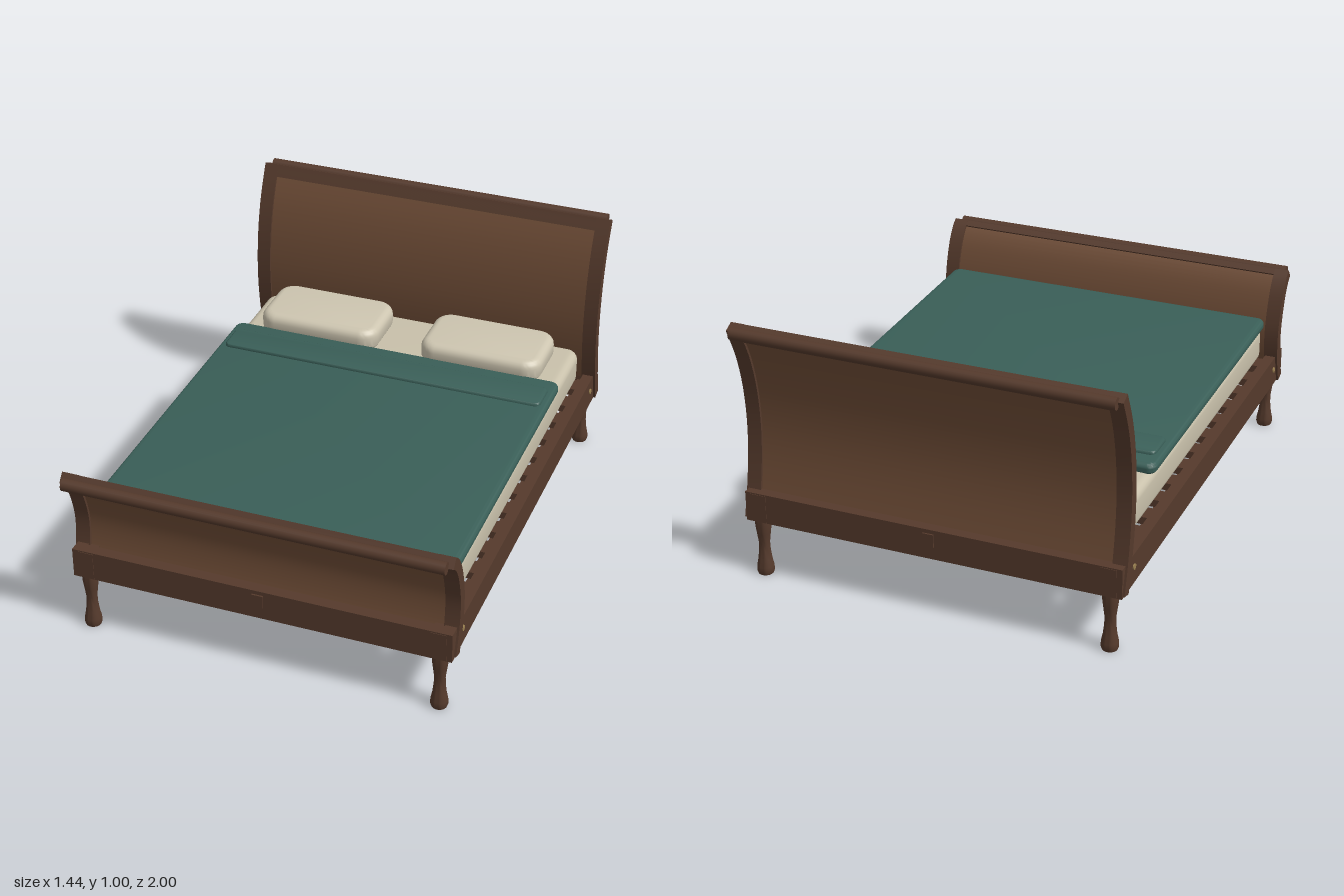
import * as THREE from 'three';
import { toCreasedNormals } from 'three/addons/utils/BufferGeometryUtils.js';

const mat = (color) => new THREE.MeshStandardMaterial({ color });

export function createModel() {
  const bed = new THREE.Group();
  const wood = mat(0x553a2c), panelWood = mat(0x6e4c36), linen = mat(0xc9c1ab);
  const pillowCloth = mat(0xcdc5b0), green = mat(0x3a5f58), brass = mat(0x9a8050);

  const add = (name, geometry, material, x = 0, y = 0, z = 0) => {
    const mesh = new THREE.Mesh(geometry, material);
    mesh.name = name;
    mesh.position.set(x, y, z);
    bed.add(mesh);
    return mesh;
  };
  // Box given by its minimum and maximum on each axis
  const box = (name, material, x0, x1, y0, y1, z0, z1) =>
    add(name, new THREE.BoxGeometry(x1 - x0, y1 - y0, z1 - z0), material,
      (x0 + x1) / 2, (y0 + y1) / 2, (z0 + z1) / 2);

  // Curved board: follows part of a (z, y) curve, extruded across x
  const board = (name, material, curve, t0, t1, thick, x0, x1, shift = 0) => {
    const a = [], b = [], n = 20;
    for (let i = 0; i <= n; i++) {
      const t = t0 + (t1 - t0) * i / n;
      const p = curve.getPoint(t), d = curve.getTangent(t);
      const normal = new THREE.Vector2(d.y, -d.x);
      a.push(p.clone().addScaledVector(normal, shift + thick / 2));
      b.unshift(p.clone().addScaledVector(normal, shift - thick / 2));
    }
    const g = new THREE.ExtrudeGeometry(new THREE.Shape([...a, ...b]),
      { depth: x1 - x0, bevelEnabled: false });
    g.rotateY(-Math.PI / 2);
    add(name, toCreasedNormals(g, 0.6), material, x1, 0, 0);
  };

  // Soft slab with rounded corners and rounded rims, resting on y
  const cushion = (name, material, x, y, z, w, h, d, corner, rim) => {
    const hw = w / 2 - rim, hd = d / 2 - rim, r = Math.max(corner - rim, 0.005);
    const s = new THREE.Shape();
    s.moveTo(-hw + r, -hd);
    s.absarc(hw - r, -hd + r, r, -Math.PI / 2, 0);
    s.absarc(hw - r, hd - r, r, 0, Math.PI / 2);
    s.absarc(-hw + r, hd - r, r, Math.PI / 2, Math.PI);
    s.absarc(-hw + r, -hd + r, r, Math.PI, Math.PI * 1.5);
    const g = new THREE.ExtrudeGeometry(s, {
      depth: h - 2 * rim, bevelSize: rim, bevelThickness: rim, bevelSegments: 5, curveSegments: 6,
    });
    g.rotateX(-Math.PI / 2);
    add(name, toCreasedNormals(g, 0.8), material, x, y + rim, z);
  };

  const rollBar = (name, r, y, z) =>
    add(name, new THREE.CylinderGeometry(r, r, 1.4, 20).rotateZ(Math.PI / 2), wood, 0, y, z);

  const spline = (pts) => new THREE.SplineCurve(pts.map(([z, y]) => new THREE.Vector2(z, y)));

  // Sleigh headboard and footboard: side posts, thin panel, top rail and scroll
  const headCurve = spline([[-0.905, 0.225], [-0.877, 0.335], [-0.855, 0.47], [-0.85, 0.6],
    [-0.865, 0.74], [-0.9, 0.87], [-0.955, 0.99]]);
  const footCurve = spline([[0.888, 0.225], [0.86, 0.32], [0.85, 0.42], [0.862, 0.5],
    [0.89, 0.58], [0.922, 0.63], [0.952, 0.655]]);
  for (const [end, curve, railStart] of [['head', headCurve, 0.925], ['foot', footCurve, 0.88]]) {
    for (const s of [-1, 1]) {
      board(end + 'boardPost', wood, curve, 0, 1, 0.042, s > 0 ? 0.665 : -0.72, s > 0 ? 0.72 : -0.665);
    }
    board(end + 'boardPanel', panelWood, curve, 0, 0.97, 0.022, -0.67, 0.67);
    board(end + 'boardTopRail', wood, curve, railStart, 1, 0.04, -0.67, 0.67);
  }
  rollBar('headboardScroll', 0.022, 0.978, -0.978);
  rollBar('footboardScroll', 0.023, 0.647, 0.977);

  // Side rails with slat ledges and bolt caps
  for (const s of [-1, 1]) {
    const span = (a, b) => (s > 0 ? [a, b] : [-b, -a]);
    box('sideRail', wood, ...span(0.67, 0.712), 0.22, 0.335, -0.928, 0.928);
    box('slatLedge', wood, ...span(0.645, 0.67), 0.27, 0.3, -0.88, 0.88);
    for (const z of [-0.815, 0.815]) {
      add('boltCap', new THREE.CylinderGeometry(0.011, 0.011, 0.008, 16).rotateZ(Math.PI / 2),
        brass, s * 0.713, 0.288, z);
    }
  }

  // End rails with a small centre plate
  for (const s of [-1, 1]) {
    const span = (a, b) => (s > 0 ? [a, b] : [-b, -a]);
    box('endRail', wood, -0.71, 0.71, 0.22, 0.335, ...span(0.885, 0.928));
    box('centrePlate', wood, -0.021, 0.021, 0.27, 0.32, ...span(0.925, 0.934));
  }

  // Turned corner legs with their joining blocks
  const legProfile = [[0, 0], [0.028, 0], [0.032, 0.012], [0.031, 0.03], [0.025, 0.06], [0.021, 0.095],
    [0.02, 0.125], [0.025, 0.165], [0.029, 0.195], [0.029, 0.23], [0, 0.23]];
  const legGeometry = toCreasedNormals(
    new THREE.LatheGeometry(legProfile.map(([r, y]) => new THREE.Vector2(r, y)), 24), 0.7);
  for (const x of [-0.662, 0.662]) {
    for (const z of [-0.9, 0.9]) {
      add('cornerLeg', legGeometry, wood, x, 0, z);
      box('cornerBlock', wood, x - 0.03, x + 0.03, 0.222, 0.33, z - 0.03, z + 0.03);
    }
  }

  // Centre beam, middle leg and slats
  box('centreBeam', wood, -0.028, 0.028, 0.225, 0.305, -0.89, 0.89);
  add('middleLeg', new THREE.CylinderGeometry(0.021, 0.023, 0.24, 20), wood, 0, 0.12, 0);
  for (let i = 0; i < 13; i++) {
    const z = -0.78 + i * 0.13;
    box('slat', wood, -0.668, 0.668, 0.3, 0.328, z - 0.036, z + 0.036);
  }

  // Bedding
  cushion('mattress', linen, 0, 0.332, 0, 1.32, 0.138, 1.655, 0.05, 0.032);
  cushion('blanket', green, 0, 0.463, 0.16, 1.34, 0.043, 1.325, 0.035, 0.018);
  cushion('blanketFold', green, 0, 0.497, -0.362, 1.29, 0.02, 0.135, 0.025, 0.009);
  for (const x of [-0.335, 0.335]) {
    cushion('pillow', pillowCloth, x, 0.468, -0.632, 0.49, 0.094, 0.288, 0.07, 0.032);
  }
  return bed;
}
